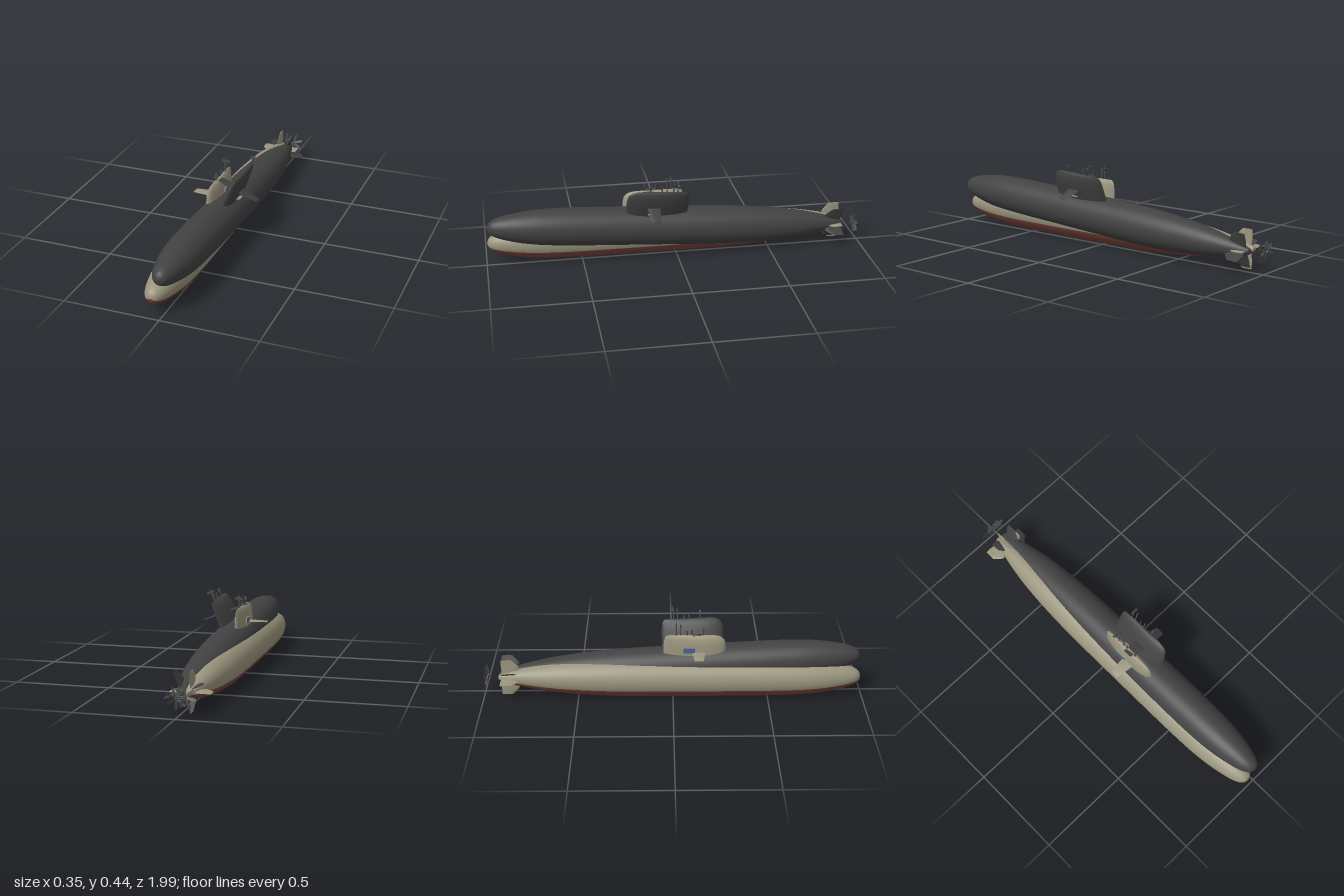
import * as THREE from 'three';
import { toCreasedNormals } from 'three/addons/utils/BufferGeometryUtils.js';

const mat = (name, color) => {
  const m = new THREE.MeshStandardMaterial({ color });
  m.name = name;
  return m;
};

function add(parent, name, geometry, material) {
  const mesh = new THREE.Mesh(geometry, material);
  mesh.name = name;
  parent.add(mesh);
  return mesh;
}

// Foil-shaped loft rising along y; each section is [height, front z, back z, half width]
function foil(sections, sides = 28) {
  const pos = [], index = [];
  for (const [y, front, back, w] of sections) {
    for (let i = 0; i < sides; i++) {
      const t = (i / sides) * Math.PI * 2;
      pos.push(w * Math.sin(t) * (0.9 + 0.22 * Math.cos(t)), y, (front + back) / 2 + ((front - back) / 2) * Math.cos(t));
    }
  }
  const last = (sections.length - 1) * sides;
  for (let s = 0; s < last; s += sides) {
    for (let i = 0; i < sides; i++) {
      const j = (i + 1) % sides;
      index.push(s + i, s + j, s + sides + j, s + i, s + sides + j, s + sides + i);
    }
  }
  // Flat end cap
  for (let i = 1; i < sides - 1; i++) index.push(last, last + i, last + i + 1);
  const g = new THREE.BufferGeometry();
  g.setAttribute('position', new THREE.Float32BufferAttribute(pos, 3));
  g.setIndex(index);
  return toCreasedNormals(g, 0.6);
}

// Hull profile as [radius, z], stern to bow
const profile = new THREE.SplineCurve([
  [0.012, -0.92], [0.022, -0.9], [0.048, -0.8], [0.075, -0.65], [0.09, -0.5], [0.099, -0.35],
  [0.103, -0.15], [0.103, 0.3], [0.101, 0.55], [0.095, 0.7], [0.084, 0.8], [0.069, 0.88],
  [0.056, 0.93], [0.041, 0.965], [0.024, 0.985], [0, 0.993],
].map(([r, z]) => new THREE.Vector2(r, z))).getPoints(75);
profile.forEach((p) => { p.x = Math.max(p.x, 0); });

function hullPart(start, length, segments) {
  const pts = [new THREE.Vector2(0, -0.92), ...profile];
  return new THREE.LatheGeometry(pts, segments, start, length).rotateX(Math.PI / 2);
}

function submarine(name, paint, bottomPaint, fittings) {
  const sub = new THREE.Group();
  sub.name = name;

  // Hull, split along the waterline
  const edge = Math.PI * 0.375;
  add(sub, 'lowerHull', hullPart(-edge, 2 * edge, 18), bottomPaint);
  add(sub, 'upperHull', hullPart(edge, 2 * (Math.PI - edge), 30), paint);

  // Sail with rounded shoulders
  add(sub, 'sail', foil([
    [0.07, 0.275, -0.05, 0.034], [0.15, 0.278, -0.05, 0.032], [0.19, 0.276, -0.048, 0.028],
    [0.215, 0.27, -0.045, 0.022], [0.23, 0.255, -0.04, 0.015], [0.238, 0.235, -0.034, 0.009],
    [0.241, 0.215, -0.028, 0.004],
  ]), paint);

  // Sail planes
  const plane = foil([[0.01, 0.172, 0.1, 0.0025], [0.127, 0.158, 0.11, 0.002], [0.129, 0.155, 0.113, 0.001]], 16);
  for (const side of [-1, 1]) {
    const p = add(sub, 'sailPlane', plane, paint);
    p.position.y = 0.153;
    p.rotation.z = (-side * Math.PI) / 2;
  }

  // Four stern fins
  const fin = foil([
    [0.01, -0.835, -0.9, 0.008], [0.03, -0.825, -0.903, 0.007], [0.055, -0.81, -0.906, 0.005],
    [0.07, -0.82, -0.906, 0.004], [0.1, -0.85, -0.905, 0.002],
  ], 16);
  for (let i = 0; i < 4; i++) add(sub, 'sternFin', fin, paint).rotation.z = (i * Math.PI) / 2;

  // Masts as [z, top height, radius]
  for (const [z, top, r] of [[0.16, 0.28, 0.003], [0.1, 0.272, 0.0035], [0.075, 0.265, 0.003], [0.04, 0.3, 0.0035], [0.018, 0.311, 0.003]]) {
    const mast = add(sub, 'mast', new THREE.CylinderGeometry(r, r, top - 0.2, 10), fittings);
    mast.position.set(0, (top + 0.2) / 2, z);
  }
  add(sub, 'antennaBar', new THREE.BoxGeometry(0.04, 0.012, 0.008), fittings).position.set(0, 0.291, 0.018);
  add(sub, 'periscopeHead', new THREE.BoxGeometry(0.012, 0.02, 0.009), fittings).position.set(0, 0.272, 0.16);

  // Seven-bladed propeller behind the stern
  const propeller = new THREE.Group();
  propeller.name = 'propeller';
  propeller.position.z = -0.987;
  sub.add(propeller);
  add(propeller, 'propellerHub', new THREE.CylinderGeometry(0.011, 0.007, 0.022, 16).rotateX(Math.PI / 2), fittings);
  const blade = foil([[0.006, 0.006, -0.006, 0.002], [0.03, 0.008, -0.008, 0.0018], [0.048, 0.008, -0.008, 0.0015], [0.056, 0.004, -0.004, 0.001]], 12)
    .rotateY(0.95);
  for (let i = 0; i < 7; i++) add(propeller, 'propellerBlade', blade, fittings).rotation.z = (i * Math.PI * 2) / 7;
  return sub;
}

export function createModel() {
  const tan = mat('tan paint', 0x9a957e);
  const red = mat('red bottom paint', 0x77433a);
  const dark = mat('dark grey paint', 0x424242);
  const steel = mat('grey fittings', 0x4a4b4c);
  const blue = mat('blue panel', 0x46699a);

  const model = new THREE.Group();
  model.name = 'submarines';

  // Level boat in two colours, with a panel on each side of the sail
  const level = submarine('levelSubmarine', tan, red, steel);
  level.position.set(-0.045, 0.104, 0);
  for (const side of [-1, 1]) {
    const panel = add(level, 'sailPanel', new THREE.BoxGeometry(0.006, 0.03, 0.06), [blue, blue, tan, tan, tan, tan]);
    panel.position.set(side * 0.0315, 0.166, 0.085);
  }

  // Dark boat, rolled to its left with its bow raised
  const tilted = submarine('tiltedSubmarine', dark, dark, steel);
  tilted.position.set(-0.005, 0.154, 0);
  tilted.rotation.set(-0.057, 0, -0.384);

  model.add(level, tilted);
  return model;
}
